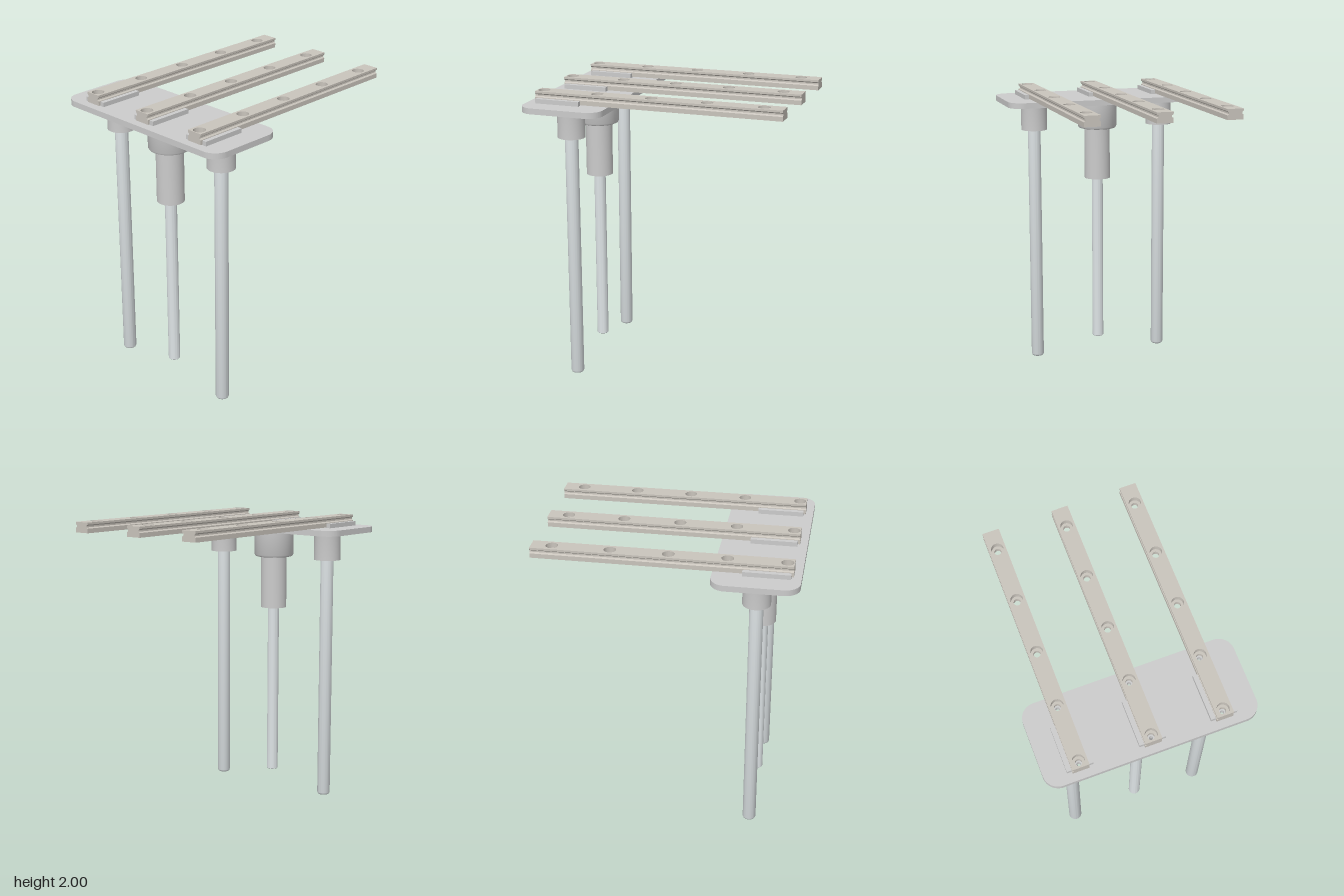
import * as THREE from 'three';
import { toCreasedNormals } from 'three/addons/utils/BufferGeometryUtils.js';

const grey = new THREE.MeshStandardMaterial({ color: 0xcccccc });
const railMat = new THREE.MeshStandardMaterial({ color: 0xc9c4bc });
const rodMat = new THREE.MeshStandardMaterial({ color: 0xdde3e5 });

const COLUMNS = [-0.47, 0, 0.47];
const AXIS_Z = 0.585;
const HOLES_Z = [-0.73, -0.355, 0.02, 0.395, 0.77];
const PLATE_TOP = 1.926, PLATE_BOTTOM = 1.887;

function addMesh(parent, name, geometry, material, x = 0, y = 0, z = 0) {
  const mesh = new THREE.Mesh(geometry, material);
  mesh.name = name;
  mesh.position.set(x, y, z);
  parent.add(mesh);
  return mesh;
}

// Plan outline (shape y = -z) with rounded corners
function planShape(x0, x1, z0, z1, r) {
  const s = new THREE.Shape(), a = -z1, b = -z0;
  if (!r) {
    s.moveTo(x0, a).lineTo(x1, a).lineTo(x1, b).lineTo(x0, b).closePath();
    return s;
  }
  s.moveTo(x0 + r, a).lineTo(x1 - r, a);
  s.absarc(x1 - r, a + r, r, -Math.PI / 2, 0);
  s.absarc(x1 - r, b - r, r, 0, Math.PI / 2);
  s.absarc(x0 + r, b - r, r, Math.PI / 2, Math.PI);
  s.absarc(x0 + r, a + r, r, Math.PI, 1.5 * Math.PI);
  return s;
}

function punch(shape, x, z, r) {
  shape.holes.push(new THREE.Path().absarc(x, -z, r, 0, Math.PI * 2, true));
}

// Extrude a plan shape upwards from y0 to y1
function slab(shape, y0, y1) {
  return new THREE.ExtrudeGeometry(shape, { depth: y1 - y0, bevelEnabled: false, curveSegments: 14 })
    .rotateX(-Math.PI / 2).translate(0, y0, 0);
}

// Turned part from [radius, height] points, bottom to top
function turned(points) {
  const lathe = new THREE.LatheGeometry(points.map(([r, y]) => new THREE.Vector2(r, y)), 48);
  return toCreasedNormals(lathe, 0.6);
}

// Quarter fillet flaring out from radius r to meet the plate underside
function flare(r, size) {
  return Array.from({ length: 7 }, (_, i) => {
    const t = (i / 6) * Math.PI / 2;
    return [r + size * (1 - Math.cos(t)), PLATE_BOTTOM - size + size * Math.sin(t)];
  });
}

// Rail made of stacked layers: [y0, y1, half width below, half width above, hole radius]
function createRail() {
  const rail = new THREE.Group();
  rail.name = 'rail';
  const layers = [
    [1.93, 1.96, 0.055, 0.055, 0.022],
    [1.96, 1.968, 0.055, 0.045, 0.04],
    [1.968, 1.978, 0.045, 0.045, 0.04],
    [1.978, 1.986, 0.045, 0.055, 0.04],
    [1.986, 2.0, 0.055, 0.055, 0.04],
  ];
  for (const [y0, y1, low, high, hole] of layers) {
    const shape = planShape(-low, low, -0.865, 0.815, 0);
    for (const z of HOLES_Z) punch(shape, 0, z, hole);
    const geo = slab(shape, y0, y1);
    // slope the long sides of the groove layers
    const p = geo.attributes.position;
    for (let i = 0; i < p.count; i++) {
      if (Math.abs(p.getX(i)) > 0.042 && p.getY(i) > (y0 + y1) / 2) p.setX(i, Math.sign(p.getX(i)) * high);
    }
    if (low !== high) geo.computeVertexNormals();
    addMesh(rail, 'railLayer', geo, railMat);
  }
  return rail;
}

export function createModel() {
  const model = new THREE.Group();
  model.name = 'railTable';

  // Base plate with rounded corners and screw holes
  const plate = planShape(-0.7, 0.7, 0.305, 0.865, 0.1);
  for (const x of COLUMNS) for (const z of [0.395, 0.77]) punch(plate, x, z, 0.013);
  addMesh(model, 'plate', slab(plate, PLATE_BOTTOM, PLATE_TOP), grey);

  // Rails and the guide strips that hold them
  for (const x of COLUMNS) {
    const rail = createRail();
    rail.position.x = x;
    model.add(rail);
    for (const side of [-1, 1]) {
      addMesh(model, 'guideStrip', new THREE.BoxGeometry(0.034, 0.03, 0.305), grey,
        x + side * 0.069, PLATE_TOP + 0.015, 0.6475);
    }
  }

  // Outer sockets and long rods with rounded tips
  const socket = turned([[0, 1.697], [0.092, 1.697], ...flare(0.092, 0.022)]);
  const rod = turned([[0, 0], [0.034, 0], [0.041, 0.005], [0.045, 0.015], [0.045, 1.72]]);
  for (const x of [COLUMNS[0], COLUMNS[2]]) {
    addMesh(model, 'socket', socket, grey, x, 0, AXIS_Z);
    addMesh(model, 'rod', rod, rodMat, x, 0, AXIS_Z);
  }

  // Central stepped housing and its shorter rod
  const housing = turned([
    [0, 1.32], [0.092, 1.32], [0.092, 1.69], [0.125, 1.69], [0.134, 1.694], [0.14, 1.705],
    ...flare(0.14, 0.022),
  ]);
  addMesh(model, 'centreHousing', housing, grey, 0, 0, AXIS_Z);
  const centreRod = turned([[0, 0.108], [0.036, 0.108], [0.04, 0.112], [0.04, 1.34]]);
  addMesh(model, 'centreRod', centreRod, rodMat, 0, 0, AXIS_Z);

  return model;
}
